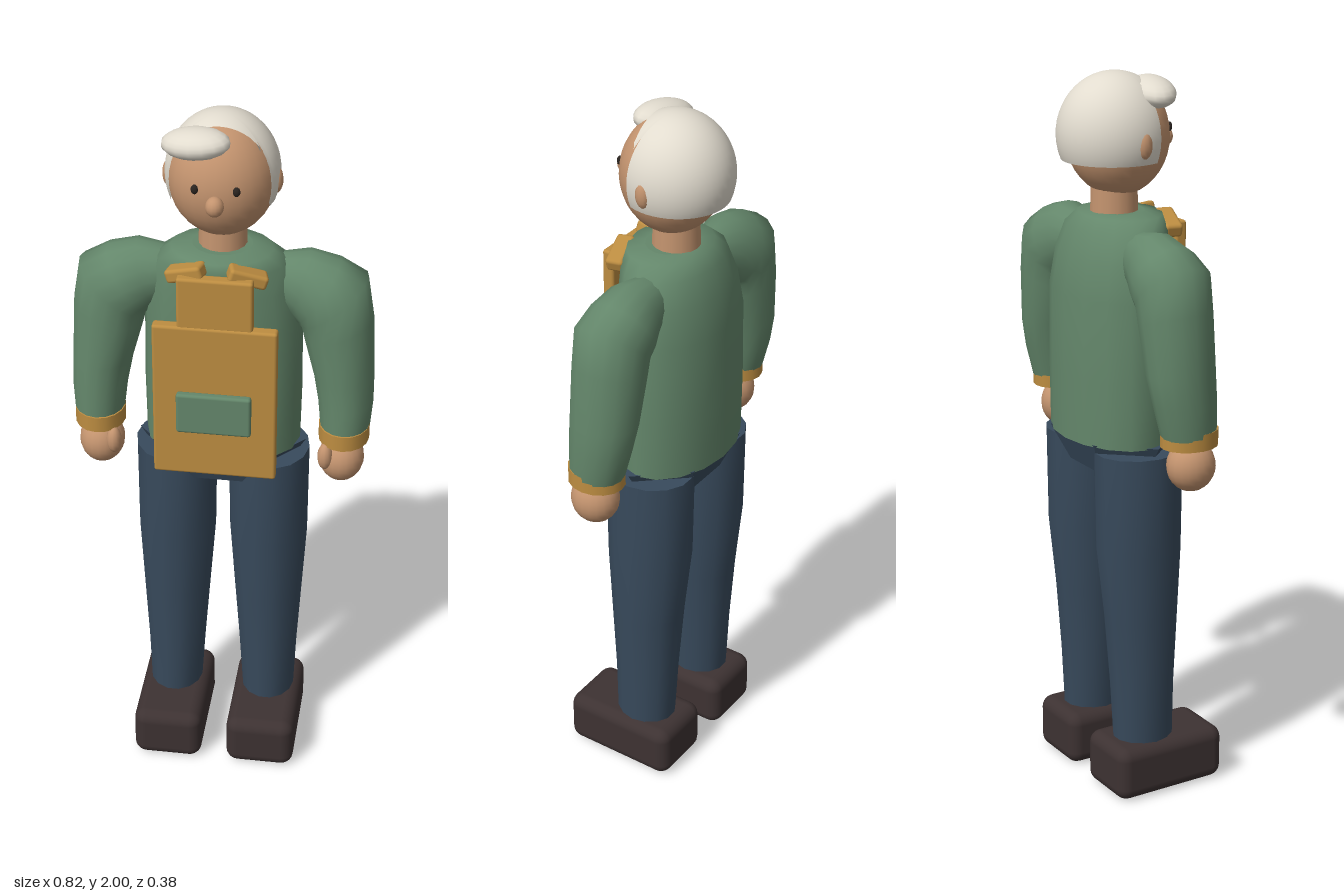
import * as THREE from 'three';
import { RoundedBoxGeometry } from 'three/addons/geometries/RoundedBoxGeometry.js';

const mat = (color, side = THREE.FrontSide) =>
  new THREE.MeshStandardMaterial({ color, side });

// Closed body from elliptical rings, listed bottom to top.
// Ring: [x0, y0, x1, y1, zCentre, zHalf], where (x0,y0)-(x1,y1) is its axis across.
function loft(rings, n = 14) {
  const pos = [], idx = [];
  const addRing = ([x0, y0, x1, y1, zc, hz]) => {
    const start = pos.length / 3;
    for (let j = 0; j < n; j++) {
      const a = (j / n) * Math.PI * 2, t = (1 + Math.cos(a)) / 2;
      pos.push(x0 + (x1 - x0) * t, y0 + (y1 - y0) * t, zc + hz * Math.sin(a));
    }
    return start;
  };
  rings.forEach(addRing);
  for (let i = 0; i < rings.length - 1; i++) {
    for (let j = 0; j < n; j++) {
      const a = i * n + j, b = i * n + ((j + 1) % n);
      idx.push(a, a + n, b, b, a + n, b + n);
    }
  }
  // End caps with their own corners, so the rims stay sharp
  [rings[0], rings[rings.length - 1]].forEach((r, end) => {
    const s = addRing(r), c = pos.length / 3;
    pos.push((r[0] + r[2]) / 2, (r[1] + r[3]) / 2, r[4]);
    for (let j = 0; j < n; j++) {
      const a = s + j, b = s + ((j + 1) % n);
      if (end) idx.push(c, b, a); else idx.push(c, a, b);
    }
  });
  const g = new THREE.BufferGeometry();
  g.setAttribute('position', new THREE.Float32BufferAttribute(pos, 3));
  g.setIndex(idx);
  g.computeVertexNormals();
  return g;
}

const mirrorRing = ([x0, y0, x1, y1, zc, hz]) => [-x1, y1, -x0, y0, zc, hz];

export function createModel() {
  const model = new THREE.Group();
  model.name = 'standingMan';
  const green = mat(0x64876b), blue = mat(0x384a5c), brown = mat(0x3d3232), ochre = mat(0xbd8d41);
  const skin = mat(0xc4946f), white = mat(0xe2dccf), dark = mat(0x2a2420);
  const hairShell = mat(0xe2dccf, THREE.DoubleSide);

  const add = (name, geometry, material, x = 0, y = 0, z = 0) => {
    const m = new THREE.Mesh(geometry, material);
    m.name = name;
    m.position.set(x, y, z);
    model.add(m);
    return m;
  };
  const ball = (name, material, x, y, z, rx, ry, rz, n = 20) => {
    const m = add(name, new THREE.SphereGeometry(1, n, Math.ceil(n * 0.7)), material, x, y, z);
    m.scale.set(rx, ry, rz);
    return m;
  };
  const box = (name, material, w, h, d, x, y, z, r = 0.008) =>
    add(name, new RoundedBoxGeometry(w, h, d, 2, r), material, x, y, z);

  // Sweater body: [y, x half, z centre, z half]
  const body = [
    [1.02, 0.212, -0.043, 0.143], [1.2, 0.215, -0.043, 0.145], [1.42, 0.212, -0.043, 0.143],
    [1.52, 0.2, -0.036, 0.132], [1.59, 0.175, -0.025, 0.12], [1.625, 0.135, -0.012, 0.106],
    [1.632, 0.08, -0.02, 0.07],
  ];
  add('sweater', loft(body.map(([y, rx, zc, rz]) => [-rx, y, rx, y, zc, rz]), 16), green);

  // Six-sided hips with a flat front and back
  const hips = add('hips', new THREE.CylinderGeometry(0.23, 0.175, 0.09, 6, 1, false, Math.PI / 6), blue, 0, 0.98, -0.033);
  hips.material = mat(0x384a5c);
  hips.material.flatShading = true;
  hips.scale.z = 0.66;

  const armRings = [
    [0.27, 1.09, 0.403, 1.09, -0.008, 0.077], [0.26, 1.18, 0.41, 1.18, -0.02, 0.088],
    [0.245, 1.26, 0.409, 1.26, -0.028, 0.095], [0.215, 1.37, 0.402, 1.43, -0.033, 0.1],
    [0.208, 1.4, 0.383, 1.55, -0.034, 0.102], [0.198, 1.41, 0.31, 1.592, -0.036, 0.096],
    [0.18, 1.43, 0.23, 1.614, -0.037, 0.08], [0.14, 1.46, 0.15, 1.6, -0.038, 0.06],
  ];
  const legRings = [
    [0.062, 0.13, 0.21, 0.13, -0.022, 0.086], [0.05, 0.32, 0.217, 0.32, -0.025, 0.092],
    [0.035, 0.52, 0.228, 0.52, -0.028, 0.104], [0.02, 0.72, 0.239, 0.72, -0.034, 0.12],
    [0.016, 1.0, 0.24, 1.0, -0.034, 0.125],
  ];

  for (const s of [1, -1]) {
    const side = s > 0 ? 'left' : 'right';
    const sided = (rings) => (s > 0 ? rings : rings.map(mirrorRing));

    // Arms and hands
    add(side + 'Sleeve', loft(sided(armRings), 16), green);
    const cuff = add(side + 'Cuff', new THREE.CylinderGeometry(1, 1, 0.045, 16), ochre, s * 0.335, 1.087, -0.006);
    cuff.scale.set(0.069, 1, 0.08);
    ball(side + 'Hand', skin, s * 0.331, 1.005, 0.003, 0.062, 0.07, 0.067);
    ball(side + 'Thumb', skin, s * 0.29, 1.03, 0.05, 0.021, 0.04, 0.024, 12);

    // Legs and shoes
    add(side + 'TrouserLeg', loft(sided(legRings)), blue);
    add(side + 'Shoe', new RoundedBoxGeometry(0.196, 0.155, 0.34, 3, 0.035), brown, s * 0.135, 0.0825, 0.02);

    // Face details
    ball(side + 'Ear', skin, s * 0.138, 1.823, -0.022, 0.018, 0.037, 0.022, 12);
    ball(side + 'Eye', dark, s * 0.053, 1.848, 0.107, 0.01, 0.013, 0.009, 10);

    // Apron strap over the shoulder
    box(side + 'Strap', ochre, 0.105, 0.038, 0.05, s * 0.08, 1.598, 0.09, 0.01).rotation.set(0, s * 0.25, -s * 0.32);
  }

  // Head
  add('neck', new THREE.CylinderGeometry(0.062, 0.066, 0.12, 16), skin, 0, 1.65, -0.03);
  ball('head', skin, 0, 1.83, -0.02, 0.141, 0.16, 0.138, 28);
  ball('nose', skin, 0, 1.812, 0.125, 0.024, 0.027, 0.025, 14);

  // Hair shell, cut upright behind the face and level at the nape
  const hair = new THREE.SphereGeometry(1, 48, 16, 0, Math.PI * 2, 0, Math.PI / 2);
  const { position, normal, uv } = hair.attributes;
  const v = new THREE.Vector3();
  for (let i = 0; i < position.count; i++) {
    const phi = uv.getX(i) * Math.PI * 2, front = Math.sin(phi);
    const limit = front > 0.39 ? Math.asin(0.39 / front) : 1.97;
    const theta = (1 - uv.getY(i)) * limit;
    v.set(-Math.cos(phi) * Math.sin(theta), Math.cos(theta), front * Math.sin(theta));
    position.setXYZ(i, v.x, v.y, v.z);
    normal.setXYZ(i, v.x, v.y, v.z);
  }
  add('hair', hair, hairShell, 0, 1.835, -0.03).scale.set(0.149, 0.165, 0.155);
  ball('quiff', white, -0.058, 1.947, 0.05, 0.092, 0.039, 0.06, 16).rotation.set(0, -0.2, 0.12);

  // Apron
  box('apronPanel', ochre, 0.33, 0.46, 0.034, 0, 1.23, 0.123);
  box('apronBib', ochre, 0.2, 0.15, 0.034, 0, 1.527, 0.119);
  box('apronPocket', green, 0.2, 0.12, 0.024, 0, 1.205, 0.15);

  return model;
}
